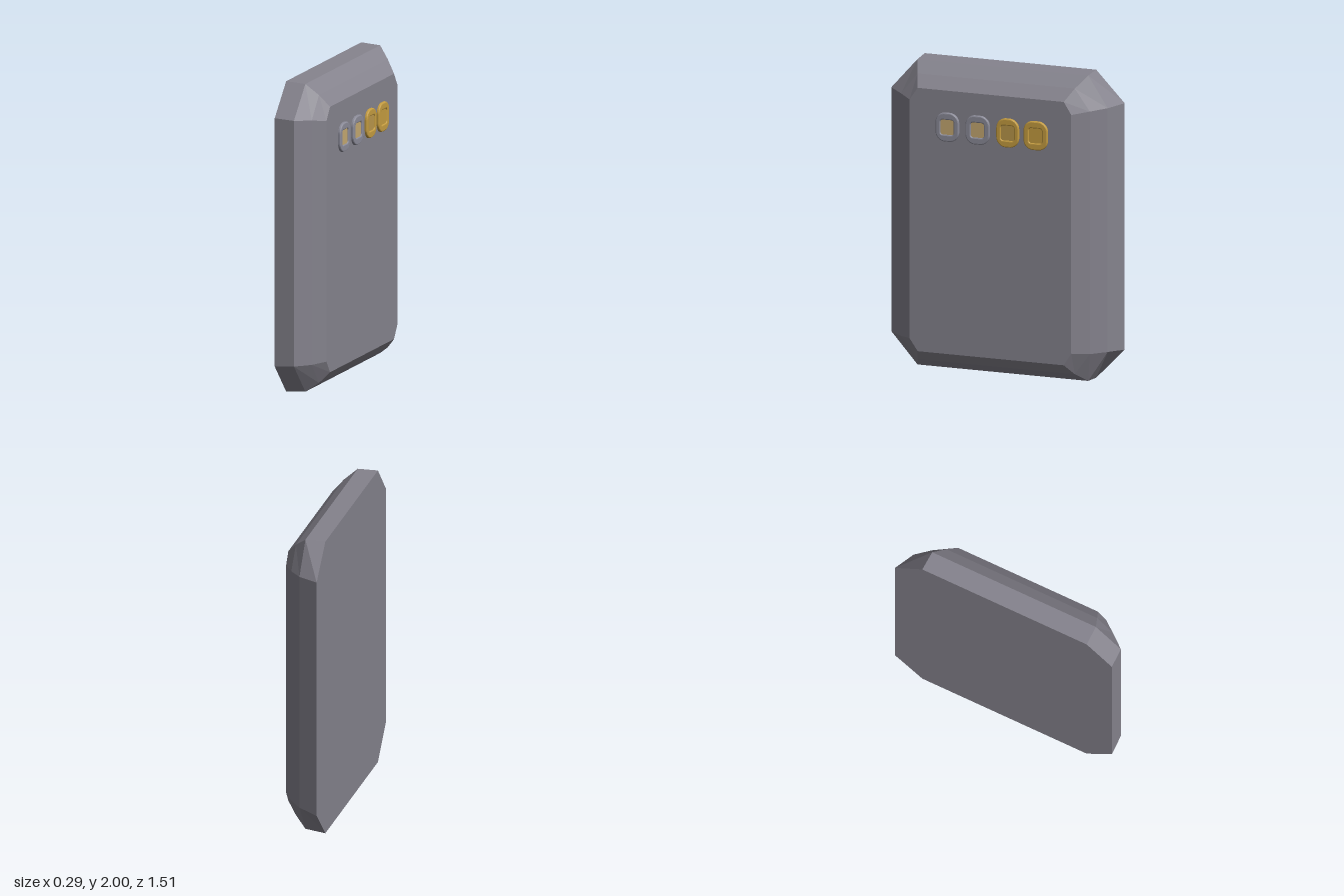
import * as THREE from 'three';

const mat = (name, color, extra = {}) => Object.assign(new THREE.MeshStandardMaterial({ color, ...extra }), { name });

// Eight-cornered cross-section, counter-clockwise seen from +x
function section({ x, zb, zf, y0, y1, cb, cf, cy }) {
  return [
    [zf - cf, y0], [zb + cb, y0], [zb, y0 + cy], [zb, y1 - cy],
    [zb + cb, y1], [zf - cf, y1], [zf, y1 - cy], [zf, y0 + cy],
  ].map(([z, y]) => [x, y, z]);
}

// Flat-faced solid through the sections, closed at both ends
function loft(rings) {
  const pos = [];
  const tri = (a, b, c) => pos.push(...a, ...b, ...c);
  for (let i = 0; i < rings.length - 1; i++) {
    const back = rings[i], front = rings[i + 1], n = back.length;
    for (let j = 0; j < n; j++) {
      const k = (j + 1) % n;
      tri(back[j], back[k], front[k]);
      tri(back[j], front[k], front[j]);
    }
  }
  const first = rings[0], last = rings[rings.length - 1];
  for (let j = 1; j < first.length - 1; j++) {
    tri(first[0], first[j + 1], first[j]);
    tri(last[0], last[j], last[j + 1]);
  }
  const geo = new THREE.BufferGeometry();
  geo.setAttribute('position', new THREE.Float32BufferAttribute(pos, 3));
  geo.computeVertexNormals();
  return geo;
}

// Rounded rectangle centred on the origin
function roundedRect(w, h, r, path = new THREE.Shape()) {
  const x = w / 2, y = h / 2;
  path.moveTo(-x + r, -y);
  path.lineTo(x - r, -y);
  path.absarc(x - r, -y + r, r, -Math.PI / 2, 0);
  path.lineTo(x, y - r);
  path.absarc(x - r, y - r, r, 0, Math.PI / 2);
  path.lineTo(-x + r, y);
  path.absarc(-x + r, y - r, r, Math.PI / 2, Math.PI);
  path.lineTo(-x, -y + r);
  path.absarc(-x + r, -y + r, r, Math.PI, Math.PI * 1.5);
  return path;
}

export function createModel() {
  const model = new THREE.Group();
  const casing = mat('casing grey', 0x85838d);
  const frameGrey = mat('frame grey', 0x8b8b98);
  const tan = mat('window tan', 0xc4a870);
  const gold = mat('gold', 0xc49c40);
  const dullGold = mat('dull gold', 0xb8964a);

  // Bevelled casing, flat at the back, with a wider slope on the -z side
  const body = new THREE.Mesh(loft([
    { x: -0.147, zb: -0.755, zf: 0.755, y0: 0.0, y1: 2.0, cb: 0.19, cf: 0.175, cy: 0.2 },
    { x: -0.015, zb: -0.69, zf: 0.755, y0: 0.012, y1: 1.995, cb: 0.13, cf: 0.175, cy: 0.2 },
    { x: 0.065, zb: -0.6, zf: 0.66, y0: 0.07, y1: 1.925, cb: 0.1, cf: 0.11, cy: 0.14 },
    { x: 0.13, zb: -0.5, zf: 0.58, y0: 0.14, y1: 1.85, cb: 0.05, cf: 0.055, cy: 0.08 },
  ].map(section)), casing);
  body.name = 'casing';
  model.add(body);

  // Row of four framed indicators on the +x face
  const bevel = 0.008;
  [
    { z: 0.325, w: 0.155, frame: frameGrey, window: tan },
    { z: 0.123, w: 0.16, frame: frameGrey, window: tan },
    { z: -0.078, w: 0.15, frame: gold, window: dullGold },
    { z: -0.265, w: 0.16, frame: gold, window: gold },
  ].forEach(({ z, w, frame, window }, i) => {
    const indicator = new THREE.Group();
    indicator.name = `indicator${i + 1}`;

    const shape = roundedRect(w - 2 * bevel, 0.187 - 2 * bevel, 0.055);
    shape.holes.push(roundedRect(0.088 + 2 * bevel, 0.096 + 2 * bevel, 0.024, new THREE.Path()));
    const rim = new THREE.Mesh(new THREE.ExtrudeGeometry(shape, {
      depth: 0.013, bevelThickness: bevel, bevelSize: bevel, bevelSegments: 3, curveSegments: 6,
    }), frame);
    rim.name = 'indicatorFrame';

    const plate = new THREE.Mesh(new THREE.BoxGeometry(0.1, 0.108, 0.009), window);
    plate.position.z = 0.0095;
    plate.name = 'indicatorWindow';

    indicator.add(rim, plate);
    indicator.rotation.y = Math.PI / 2;
    indicator.position.set(0.126, 1.615, z);
    model.add(indicator);
  });

  return model;
}
